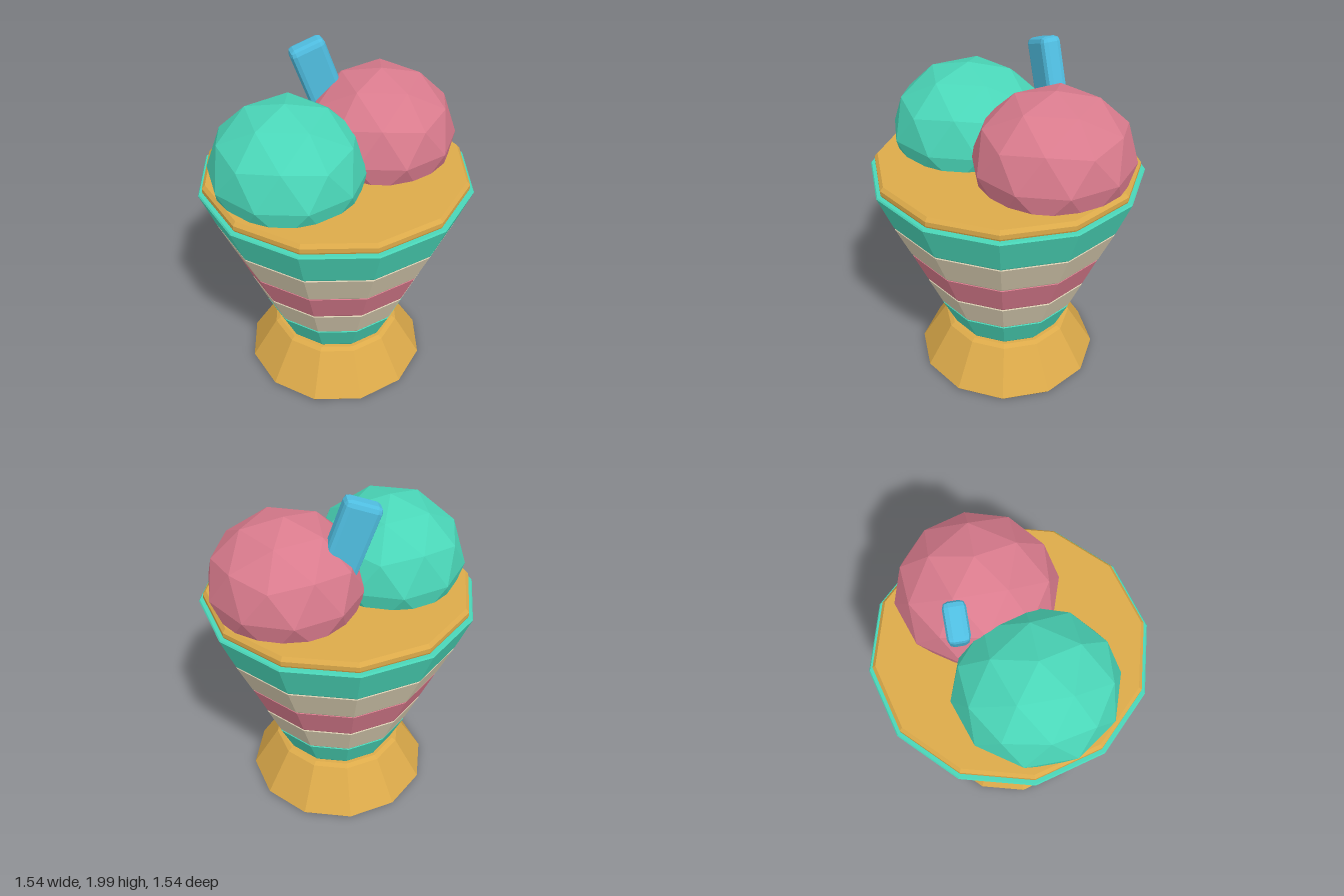
import * as THREE from 'three';
import { RoundedBoxGeometry } from 'three/addons/geometries/RoundedBoxGeometry.js';

const paint = (name, color) => {
  const m = new THREE.MeshStandardMaterial({ color });
  m.name = name;
  return m;
};

export function createModel() {
  const group = new THREE.Group();
  const green = paint('mint green', 0x4ad6b8);
  const pink = paint('rose pink', 0xd97b8d);
  const cream = paint('cream', 0xd8ccb0);
  const gold = paint('gold', 0xdcaa4a);
  const blue = paint('sky blue', 0x4fbde0);

  // Adds a mesh with faceted normals
  const add = (name, geometry, material) => {
    const flat = geometry.index ? geometry.toNonIndexed() : geometry;
    flat.computeVertexNormals();
    const mesh = new THREE.Mesh(flat, material);
    mesh.name = name;
    group.add(mesh);
    return mesh;
  };
  // Twelve-sided turned part, profile from bottom to top, closed on the axis
  const turned = (name, profile, material) => {
    const pts = [[0, profile[0][1]], ...profile, [0, profile[profile.length - 1][1]]];
    return add(name, new THREE.LatheGeometry(pts.map(p => new THREE.Vector2(...p)), 12), material);
  };

  // Flared foot
  turned('foot', [[0.53, 0], [0.54, 0.012], [0.385, 0.265], [0.36, 0.28]], gold);

  // Striped cup: each band steps out slightly over the one below
  const bands = [
    ['lowerBand', 0.28, 0.47, 0.345, 0.425, green],
    ['lowerCreamBand', 0.47, 0.67, 0.43, 0.508, cream],
    ['middleBand', 0.67, 0.875, 0.513, 0.592, pink],
    ['upperCreamBand', 0.875, 1.08, 0.6, 0.682, cream],
    ['upperBand', 1.08, 1.3, 0.688, 0.768, green],
  ];
  for (const [name, y0, y1, r0, r1, material] of bands) {
    turned(name, [[r0 - 0.006, y0], [r0, y0 + 0.008], [r1, y1 - 0.008], [r1 - 0.006, y1]], material);
  }

  // Bevelled disc closing the cup
  turned('rimDisc', [[0.735, 1.29], [0.743, 1.31], [0.743, 1.335], [0.725, 1.355]], gold);

  // Scoops: faceted balls standing on a corner, slightly flattened
  const scoop = (name, x, y, z, material) => {
    const ball = new THREE.IcosahedronGeometry(1, 1);
    ball.rotateX(-Math.atan((1 + Math.sqrt(5)) / 2)).rotateY(Math.PI / 2);
    ball.scale(0.427, 0.38, 0.447);
    add(name, ball, material).position.set(x, y, z);
  };
  scoop('rightScoop', -0.293, 1.44, 0.088, green);
  scoop('leftScoop', 0.293, 1.46, -0.124, pink);

  // Wafer stick leaning between the scoops
  const stick = add('waferStick', new RoundedBoxGeometry(0.2, 0.6, 0.113, 1, 0.03), blue);
  stick.position.set(0.008, 1.688, -0.263);
  stick.rotation.z = 0.345;

  return group;
}
